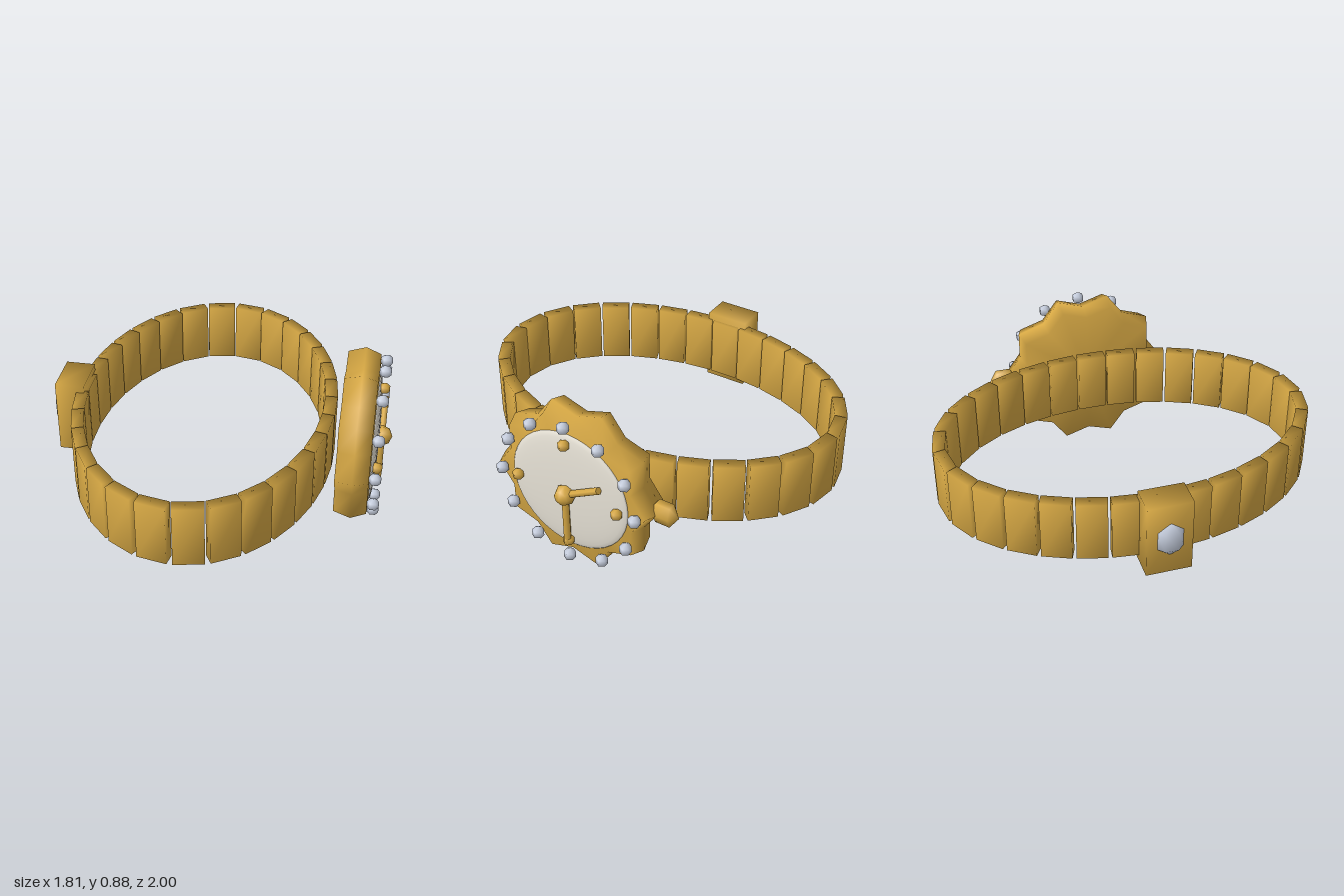
import * as THREE from 'three';
import { mergeVertices } from 'three/addons/utils/BufferGeometryUtils.js';

const gold = new THREE.MeshStandardMaterial({ color: 0xd9aa45 });
const silver = new THREE.MeshStandardMaterial({ color: 0xc8d0e0 });
const cream = new THREE.MeshStandardMaterial({ color: 0xe9e4d8 });
const CY = 0.45; // height of the dial centre

function add(parent, name, geometry, material, x = 0, y = 0, z = 0) {
  const mesh = new THREE.Mesh(geometry, material);
  mesh.name = name;
  mesh.position.set(x, y, z);
  parent.add(mesh);
  return mesh;
}

// Box with shared corners, so it shades softly
function softBox(w, h, d) {
  const g = new THREE.BoxGeometry(w, h, d);
  g.deleteAttribute('normal');
  g.deleteAttribute('uv');
  const merged = mergeVertices(g);
  merged.computeVertexNormals();
  return merged;
}

const bead = r => new THREE.SphereGeometry(r, 6, 3);

// Ten-pointed case lofted along x from [x, scale] sections, closed at both ends
function caseGeometry() {
  const sections = [[0.64, 0.94], [0.73, 1], [0.81, 0.935]];
  const n = 20, pos = [], idx = [];
  for (const [x, s] of sections) {
    for (let j = 0; j < n; j++) {
      const a = (j / n) * Math.PI * 2;
      const r = s * (j % 2 ? 0.463 : 0.395);
      pos.push(x, r * Math.cos(a), r * Math.sin(a));
    }
  }
  const back = sections.length * n, front = back + 1;
  pos.push(0.64, 0, 0, 0.81, 0, 0);
  for (let j = 0; j < n; j++) {
    const k = (j + 1) % n;
    for (let i = 0; i < sections.length - 1; i++) {
      const a = i * n + j, b = i * n + k;
      idx.push(a, b, a + n, b, b + n, a + n);
    }
    const last = (sections.length - 1) * n;
    idx.push(front, last + j, last + k, back, k, j);
  }
  const g = new THREE.BufferGeometry();
  g.setAttribute('position', new THREE.Float32BufferAttribute(pos, 3));
  g.setIndex(idx);
  g.computeVertexNormals();
  return g;
}

// Thin rod from the dial centre to (y, z) on the dial
function addHand(parent, name, y, z) {
  const length = Math.hypot(y, z);
  const g = new THREE.CylinderGeometry(0.02, 0.02, length, 6);
  const hand = add(parent, name, g, gold, 0.85, CY + y / 2, z / 2);
  hand.rotation.x = Math.atan2(z, y);
}

export function createModel() {
  const model = new THREE.Group();
  model.name = 'wristwatch';

  // Bracelet: links evenly spaced along an ellipse
  const band = new THREE.Group();
  band.name = 'bracelet';
  model.add(band);
  const oval = new THREE.EllipseCurve(-0.08, 0, 0.652, 0.96, 0, Math.PI * 2);
  oval.arcLengthDivisions = 600;
  const linkGeometry = softBox(0.065, 0.33, 0.155);
  const links = 30;
  for (let i = 0; i < links; i++) {
    const p = oval.getPointAt(i / links), t = oval.getTangentAt(i / links);
    const link = add(band, 'link', linkGeometry, gold, p.x, 0.447, p.y);
    link.rotation.y = Math.atan2(t.x, t.y);
  }

  // Clasp with a gem
  add(model, 'clasp', softBox(0.155, 0.405, 0.235), gold, -0.797, 0.447, -0.003);
  const gem = add(model, 'claspGem', bead(1).rotateY(Math.PI / 6), silver, -0.87, 0.447, 0);
  gem.scale.set(0.047, 0.1, 0.08);

  // Watch head
  const head = new THREE.Group();
  head.name = 'watchHead';
  model.add(head);
  add(head, 'case', caseGeometry(), gold, 0, CY, 0);
  const dome = new THREE.SphereGeometry(0.34, 40, 8, 0, Math.PI * 2, 0, Math.PI / 2);
  dome.scale(1, 0.08, 1).rotateZ(-Math.PI / 2);
  add(head, 'dial', dome, cream, 0.812, CY, 0);

  // Studs around the bezel, markers at the quarters
  const stud = bead(0.035), marker = bead(0.032);
  for (let i = 0; i < 12; i++) {
    const a = (i / 12) * Math.PI * 2, c = Math.cos(a), s = Math.sin(a);
    add(head, 'stud', stud, silver, 0.84, CY + 0.392 * c, 0.392 * s);
    if (i % 3 === 0) add(head, 'hourMarker', marker, gold, 0.842, CY + 0.292 * c, 0.292 * s);
  }

  // Hands, hub and crown
  addHand(head, 'minuteHand', -0.31, 0);
  addHand(head, 'hourHand', 0.11, -0.2);
  add(head, 'hub', new THREE.SphereGeometry(0.055, 8, 4).rotateZ(Math.PI / 2), gold, 0.85, CY, 0);
  const crown = add(head, 'crown', bead(1).rotateX(Math.PI / 2), gold, 0.71, CY, -0.48);
  crown.scale.set(0.05, 0.075, 0.08);

  return model;
}
